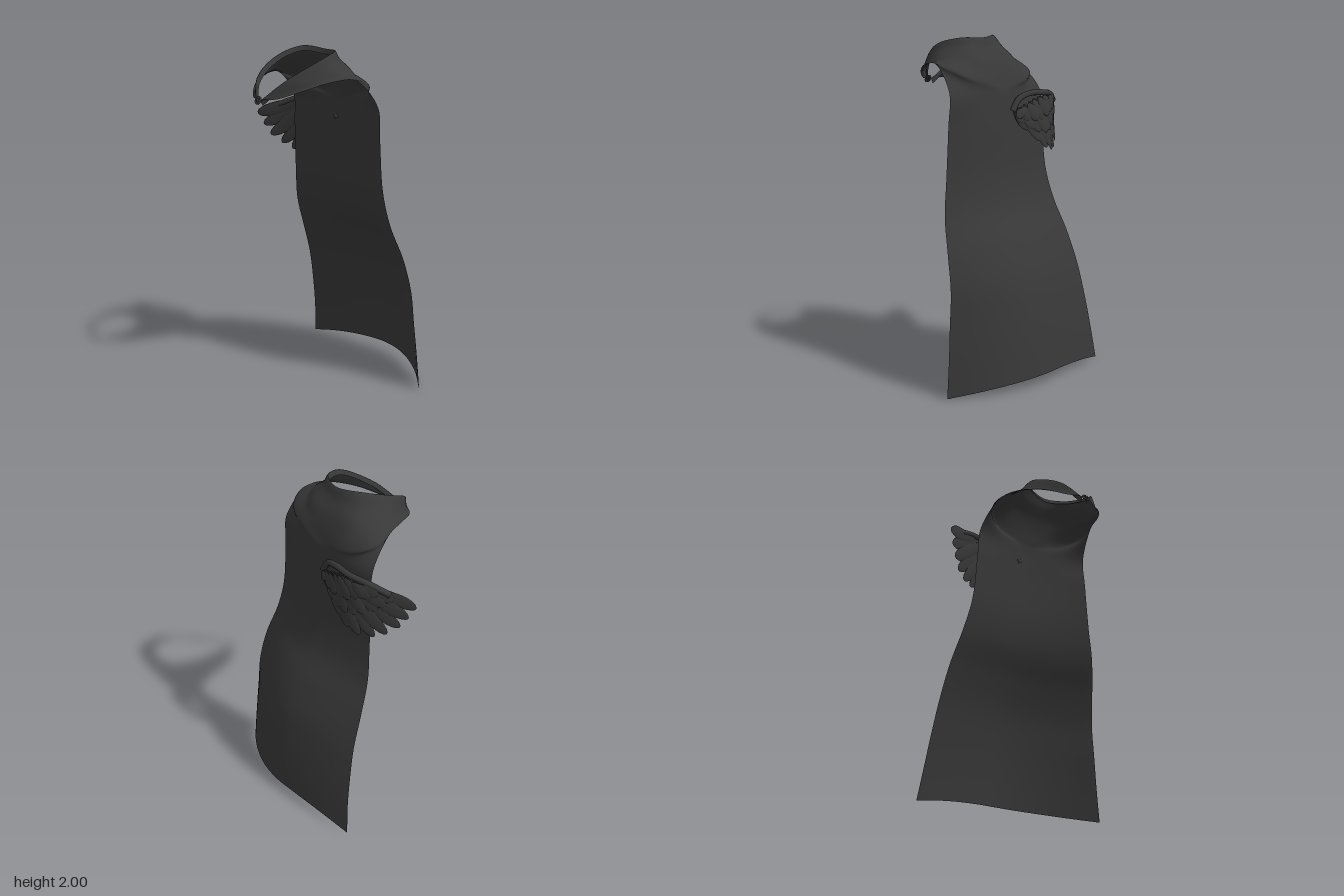
import * as THREE from 'three';

const V = (x, y, z) => new THREE.Vector3(x, y, z);
const cloth = new THREE.MeshStandardMaterial({ color: 0x383838, side: THREE.DoubleSide });

// Smooth sheet through rows of control points
function loft(rows, nu, nv) {
  const cols = [];
  const across = rows.map(r => new THREE.CatmullRomCurve3(r).getPoints(nu));
  for (let i = 0; i <= nu; i++) cols.push(new THREE.CatmullRomCurve3(across.map(r => r[i])).getPoints(nv));
  const pos = [], idx = [], w = nu + 1;
  for (let j = 0; j <= nv; j++) for (let i = 0; i <= nu; i++) pos.push(...cols[i][j].toArray());
  for (let j = 0; j < nv; j++) for (let i = 0; i < nu; i++) {
    const a = j * w + i;
    idx.push(a, a + 1, a + w, a + 1, a + w + 1, a + w);
  }
  const g = new THREE.BufferGeometry();
  g.setAttribute('position', new THREE.Float32BufferAttribute(pos, 3));
  g.setIndex(idx);
  g.computeVertexNormals();
  return g;
}

// Collar and shoulders: rows run from the right front edge, round the back, to the left front edge
const mantleRows = [
  [[0, 1.73, .48], [-.09, 1.84, .40], [-.15, 1.95, .2], [-.10, 1.998, .06], [.05, 1.985, .01],
    [.18, 1.985, .06], [.23, 1.95, .2], [.14, 1.84, .38], [.04, 1.73, .48]],
  [[-.08, 1.74, .44], [-.16, 1.83, .32], [-.20, 1.90, .17], [-.13, 1.94, .02], [.05, 1.93, -.02],
    [.18, 1.94, .02], [.26, 1.91, .17], [.22, 1.84, .31], [.12, 1.74, .43]],
  [[-.19, 1.79, .34], [-.24, 1.84, .2], [-.24, 1.87, .08], [-.15, 1.88, -.04], [.05, 1.86, -.07],
    [.20, 1.88, -.04], [.30, 1.87, .08], [.30, 1.84, .2], [.24, 1.79, .33]],
  [[-.27, 1.83, .2], [-.29, 1.84, .1], [-.27, 1.84, 0], [-.16, 1.82, -.08], [.05, 1.80, -.10],
    [.20, 1.82, -.08], [.31, 1.85, 0], [.34, 1.85, .1], [.33, 1.835, .2]],
  [[-.32, 1.825, .06], [-.33, 1.81, .01], [-.29, 1.78, -.07], [-.17, 1.74, -.12], [.05, 1.73, -.125],
    [.20, 1.75, -.12], [.33, 1.79, -.07], [.375, 1.82, .01], [.37, 1.835, .07]],
].map(r => r.map(p => V(...p)));

// Hanging cloth: y, right edge x, left edge x, right z, middle z, left z
const drapeRows = [
  [1.68, -.36, .405, -.085, -.14, -.065],
  [1.5, -.37, .42, -.10, -.155, -.07],
  [1.2, -.385, .445, -.12, -.175, -.075],
  [1.0, -.42, .485, -.16, -.22, -.10],
  [.8, -.455, .53, -.24, -.32, -.165],
  [.6, -.475, .555, -.31, -.40, -.21],
  [.4, -.495, .575, -.355, -.445, -.22],
  [.2, -.515, .595, -.39, -.475, -.23],
  [0, -.54, .615, -.415, -.497, -.235],
].map(([y, xa, xb, za, zm, zb]) => Array.from({ length: 9 }, (_, i) => {
  const s = i / 4 - 1;
  const z = s < 0 ? zm + (za - zm) * (-s) ** 1.4 : zm + (zb - zm) * s * s;
  const lift = .065 * (1 - s * s) * Math.max(0, 1 - y / 1.2);
  return V((xa + xb) / 2 + s * (xb - xa) / 2, y + lift, z);
}));

// Neck edge rolled slightly inward
const rolledEdge = mantleRows[0].map(p => V(
  p.x + (.04 - p.x) * .08, p.y - .03, p.z + (.22 - p.z) * .06));

// Wing surface depth at a point of its outline
const depthCurve = new THREE.SplineCurve([[0, -.145], [.16, -.18], [.31, -.18], [.465, -.105], [.62, .0]]
  .map(p => new THREE.Vector2(...p)));
const wingZ = (x, y) => depthCurve.getPoint(THREE.MathUtils.clamp(-x / .62, 0, 1)).y + .1 * (y - 1.53);

// One feather from base to tip, bent on to the wing surface
function feather(base, tip, width, offset) {
  const d = tip.clone().sub(base), len = d.length();
  const g = new THREE.SphereGeometry(1, 14, 12);
  g.rotateZ(-Math.PI / 2);
  const p = g.attributes.position;
  for (let i = 0; i < p.count; i++) {
    const t = (p.getX(i) + 1) / 2;
    const side = p.getY(i) * width / 2 * (.75 + .35 * t);
    const x = base.x + d.x * t - d.y / len * side;
    const y = base.y + d.y * t + d.x / len * side;
    p.setXYZ(i, x, y, wingZ(x, y) - offset + p.getZ(i) * .008);
  }
  g.computeVertexNormals();
  return new THREE.Mesh(g, cloth);
}

function createWing() {
  const wing = new THREE.Group();
  wing.name = 'wing';
  const tips = new THREE.SplineCurve([[-.615, 1.535], [-.585, 1.465], [-.55, 1.40], [-.50, 1.35], [-.44, 1.315],
    [-.37, 1.31], [-.30, 1.33], [-.23, 1.38], [-.15, 1.45]].map(p => new THREE.Vector2(...p)));
  const bases = new THREE.SplineCurve([[-.36, 1.63], [-.24, 1.64], [-.14, 1.61], [-.05, 1.57]]
    .map(p => new THREE.Vector2(...p)));
  // Flight feathers, then two shorter overlapping layers
  [['flightFeather', 9, 1, .085, 0], ['longCovert', 9, .62, .085, .012], ['shortCovert', 8, .36, .08, .022]]
    .forEach(([name, n, reach, width, offset]) => {
      for (let i = 0; i < n; i++) {
        const t = i / (n - 1), b = bases.getPoint(t);
        const f = feather(b, b.clone().lerp(tips.getPoint(t), reach), width, offset + (i % 2) * .004);
        f.name = name;
        wing.add(f);
      }
    });
  // Rounded leading edge
  const path = [[-.03, 1.56], [-.08, 1.63], [-.16, 1.66], [-.28, 1.66], [-.39, 1.645], [-.50, 1.60]]
    .map(([x, y]) => V(x, y, wingZ(x, y) - .008));
  const arm = new THREE.TubeGeometry(new THREE.CatmullRomCurve3(path), 30, .018, 8);
  const edge = new THREE.Mesh(arm, cloth);
  edge.name = 'wingLeadingEdge';
  wing.add(edge);
  return wing;
}

export function createModel() {
  const model = new THREE.Group();
  model.name = 'hoodedCape';

  const cape = new THREE.Mesh(loft([rolledEdge, ...mantleRows, ...drapeRows], 64, 112), cloth);
  cape.name = 'cape';
  model.add(cape);

  // Clasp joining the front corners
  const clasp = new THREE.Group();
  clasp.name = 'clasp';
  clasp.add(new THREE.Mesh(new THREE.TorusGeometry(.018, .007, 8, 20), cloth));
  clasp.add(new THREE.Mesh(new THREE.SphereGeometry(.011, 12, 8), cloth));
  clasp.position.set(.025, 1.73, .485);
  clasp.rotation.x = -.5;
  model.add(clasp);

  model.add(createWing());
  return model;
}
